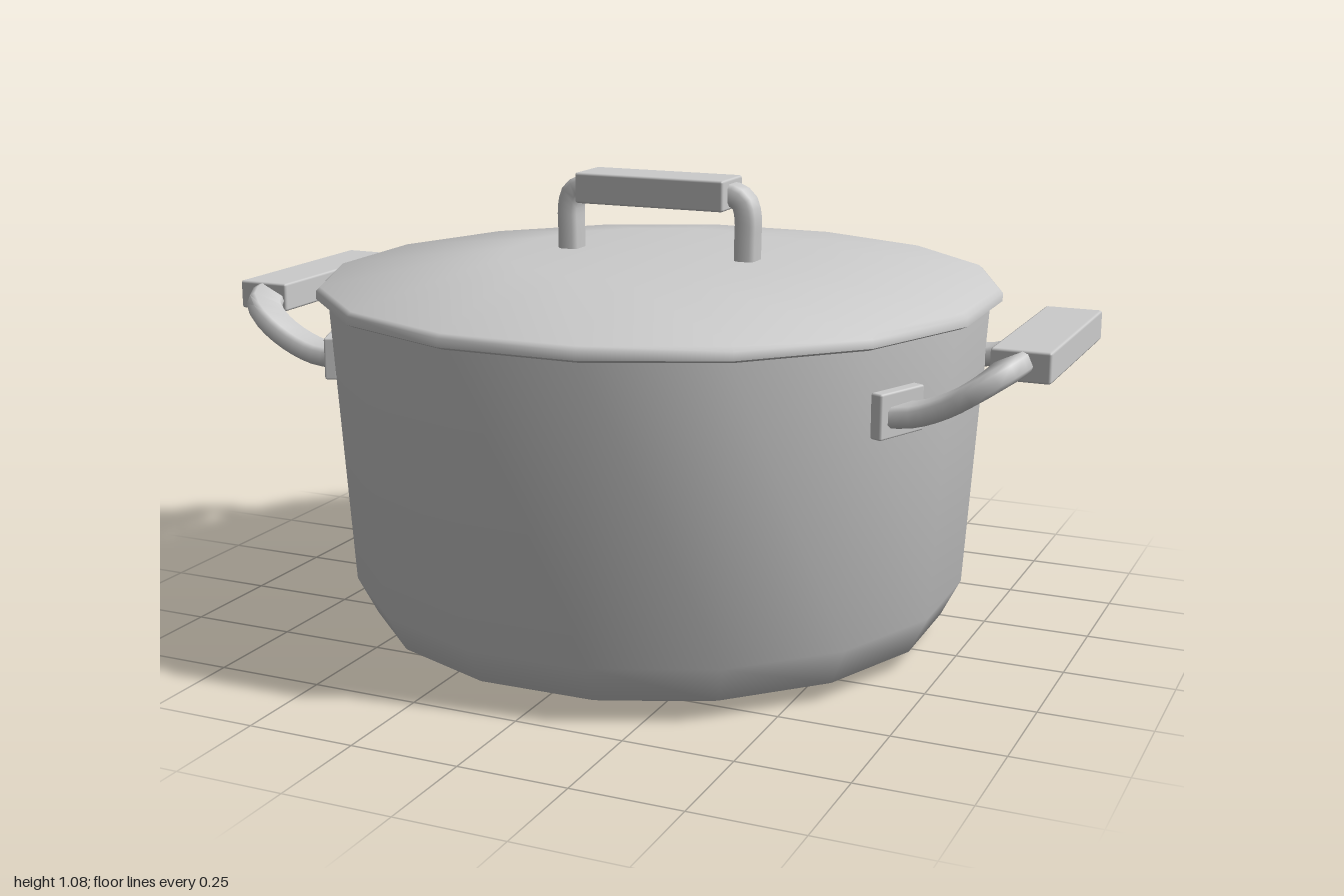
import * as THREE from 'three';
import { toCreasedNormals } from 'three/addons/utils/BufferGeometryUtils.js';
import { RoundedBoxGeometry } from 'three/addons/geometries/RoundedBoxGeometry.js';

const material = new THREE.MeshStandardMaterial({ color: 0xcccccc });
const SIDES = 16;
const TURN = 0.21; // the body's corners are turned slightly off the axes
const CREASE = 0.9;

function part(name, geometry, x = 0, y = 0, z = 0) {
  const mesh = new THREE.Mesh(geometry, material);
  mesh.name = name;
  mesh.position.set(x, y, z);
  return mesh;
}

function turned(profile) {
  const points = profile.map(([r, y]) => new THREE.Vector2(r, y));
  return toCreasedNormals(new THREE.LatheGeometry(points, SIDES, TURN), CREASE);
}

// Chamfered rectangular bar swept along a path; "up" fixes its height direction.
function sweptBar(path, up, width, height, steps = 14) {
  const curve = new THREE.CatmullRomCurve3(path.map((p) => new THREE.Vector3(...p)));
  const w = width / 2, h = height / 2, c = Math.min(w, h) * 0.4;
  const section = [
    [w, -h + c], [w, h - c], [w - c, h], [-w + c, h],
    [-w, h - c], [-w, -h + c], [-w + c, -h], [w - c, -h],
  ];
  const n = section.length, positions = [], index = [];
  for (let i = 0; i <= steps; i++) {
    const p = curve.getPointAt(i / steps), t = curve.getTangentAt(i / steps);
    const u = new THREE.Vector3(...up).cross(t).normalize();
    const v = t.clone().cross(u);
    for (const [a, b] of section) {
      positions.push(...p.clone().addScaledVector(u, a).addScaledVector(v, b).toArray());
    }
    if (i === steps) break;
    for (let j = 0; j < n; j++) {
      const a = i * n + j, b = i * n + (j + 1) % n;
      index.push(a, b, a + n, b, b + n, a + n);
    }
  }
  const geometry = new THREE.BufferGeometry();
  geometry.setAttribute('position', new THREE.Float32BufferAttribute(positions, 3));
  geometry.setIndex(index);
  return toCreasedNormals(geometry, CREASE);
}

// Loop handle on one side: grip, two curved arms and their wall plates.
function sideHandle(s) {
  const group = new THREE.Group();
  group.name = s > 0 ? 'leftHandle' : 'rightHandle';
  group.position.z = 0.025;
  group.add(part('grip', new RoundedBoxGeometry(0.13, 0.068, 0.49, 1, 0.006), s * 0.935, 0.76, 0));
  for (const k of [1, -1]) {
    const path = [
      [0.68, 0.648, 0.315], [0.74, 0.655, 0.315], [0.81, 0.683, 0.315], [0.865, 0.718, 0.31],
      [0.905, 0.747, 0.285], [0.92, 0.758, 0.24], [0.922, 0.76, 0.18],
    ].map(([x, y, z]) => [s * x, y, k * z]);
    group.add(part('arm', sweptBar(path, [-s * 0.42, 0.91, 0], 0.08, 0.046)));
    const plate = part('wallPlate', new RoundedBoxGeometry(0.03, 0.1, 0.14, 1, 0.005), s * 0.693, 0.653, k * 0.305);
    plate.rotation.y = -s * k * Math.PI / 8;
    group.add(plate);
  }
  return group;
}

// Upright handle on the lid: grip and two bent legs.
function lidHandle() {
  const group = new THREE.Group();
  group.name = 'lidHandle';
  group.position.z = 0.008;
  group.add(part('grip', new RoundedBoxGeometry(0.375, 0.072, 0.122, 1, 0.006), 0, 1.041, 0));
  for (const s of [1, -1]) {
    const path = [
      [0.225, 0.87, 0], [0.226, 0.94, 0], [0.226, 0.99, 0],
      [0.216, 1.024, 0], [0.19, 1.04, 0], [0.14, 1.042, 0],
    ].map(([x, y, z]) => [s * x, y, z]);
    group.add(part('leg', sweptBar(path, [0, 0, 1], 0.05, 0.064)));
  }
  return group;
}

export function createModel() {
  const model = new THREE.Group();
  model.name = 'cookingPot';
  model.add(part('body', turned([
    [0, 0], [0.585, 0], [0.685, 0.042], [0.73, 0.13], [0.773, 0.805],
  ])));
  model.add(part('lid', turned([
    [0, 0.8], [0.785, 0.8], [0.8, 0.807], [0.8, 0.826], [0.79, 0.835], [0.37, 0.89], [0, 0.89],
  ])));
  model.add(lidHandle(), sideHandle(1), sideHandle(-1));
  return model;
}
